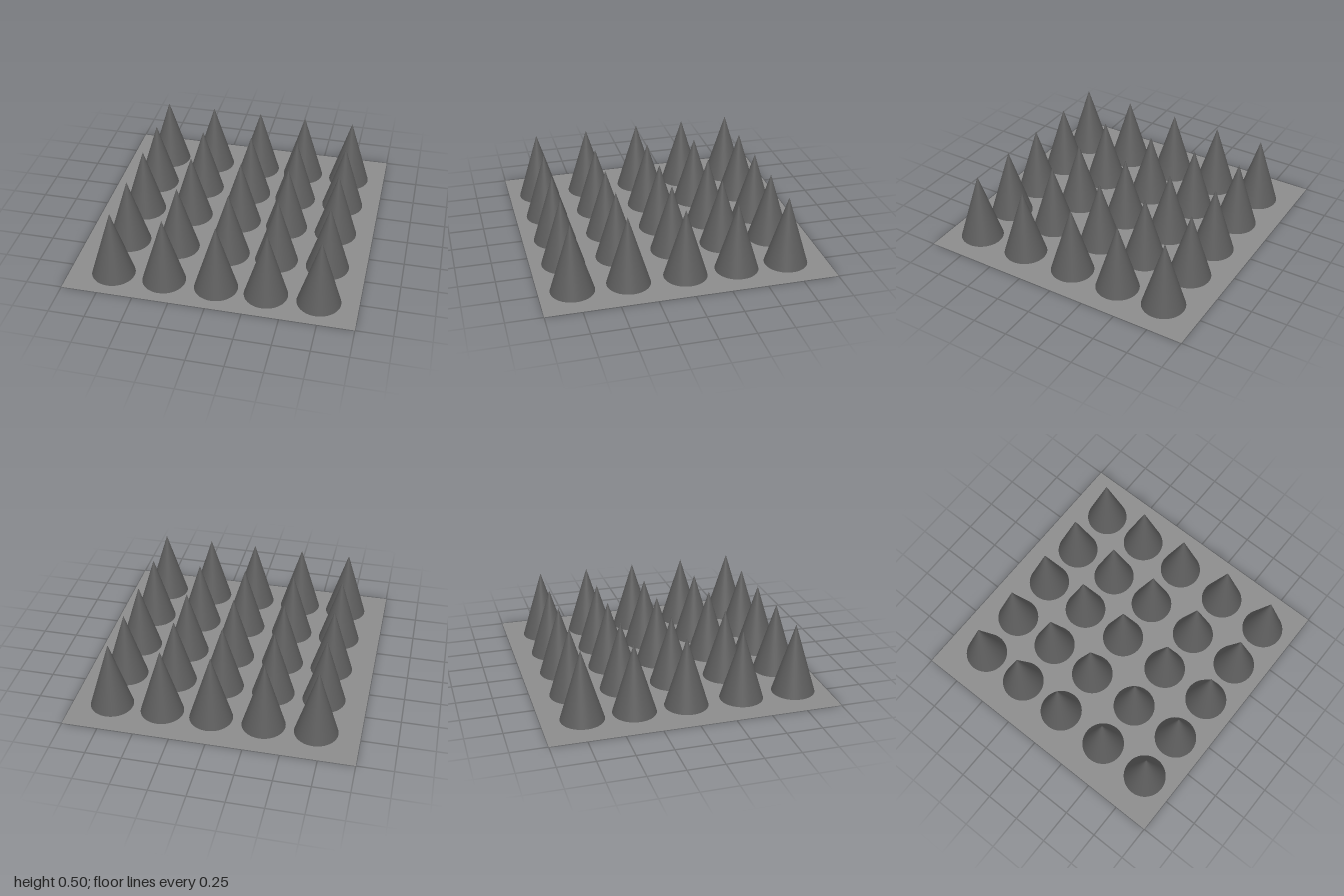
import * as THREE from 'three';

export function createModel() {
  const group = new THREE.Group();
  const baseMaterial = new THREE.MeshStandardMaterial({ color: 0x8c8c8c, side: THREE.DoubleSide });
  const coneMaterial = new THREE.MeshStandardMaterial({ color: 0x5c5c5c });

  // Thin base sheet, tipped by a hair so the cone caps show beneath its +x half
  const base = new THREE.Mesh(new THREE.PlaneGeometry(2, 2).rotateX(-Math.PI / 2), baseMaterial);
  base.name = 'baseSheet';
  base.rotation.z = 0.0005;
  group.add(base);

  // Five by five field of cones in slightly uneven rows and columns
  const radius = 0.15, height = 0.495;
  const columns = [-0.7, -0.34, 0.025, 0.37, 0.73];
  const rows = [-0.72, -0.365, -0.003, 0.39, 0.77];
  const coneGeometry = new THREE.ConeGeometry(radius, height, 64).translate(0, height / 2, 0);
  const cones = new THREE.Group();
  cones.name = 'cones';
  rows.forEach((z, r) => columns.forEach((x, c) => {
    const cone = new THREE.Mesh(coneGeometry, coneMaterial);
    cone.name = `coneRow${r + 1}Column${c + 1}`;
    cone.position.set(x, 0, z);
    cones.add(cone);
  }));
  group.add(cones);
  return group;
}
